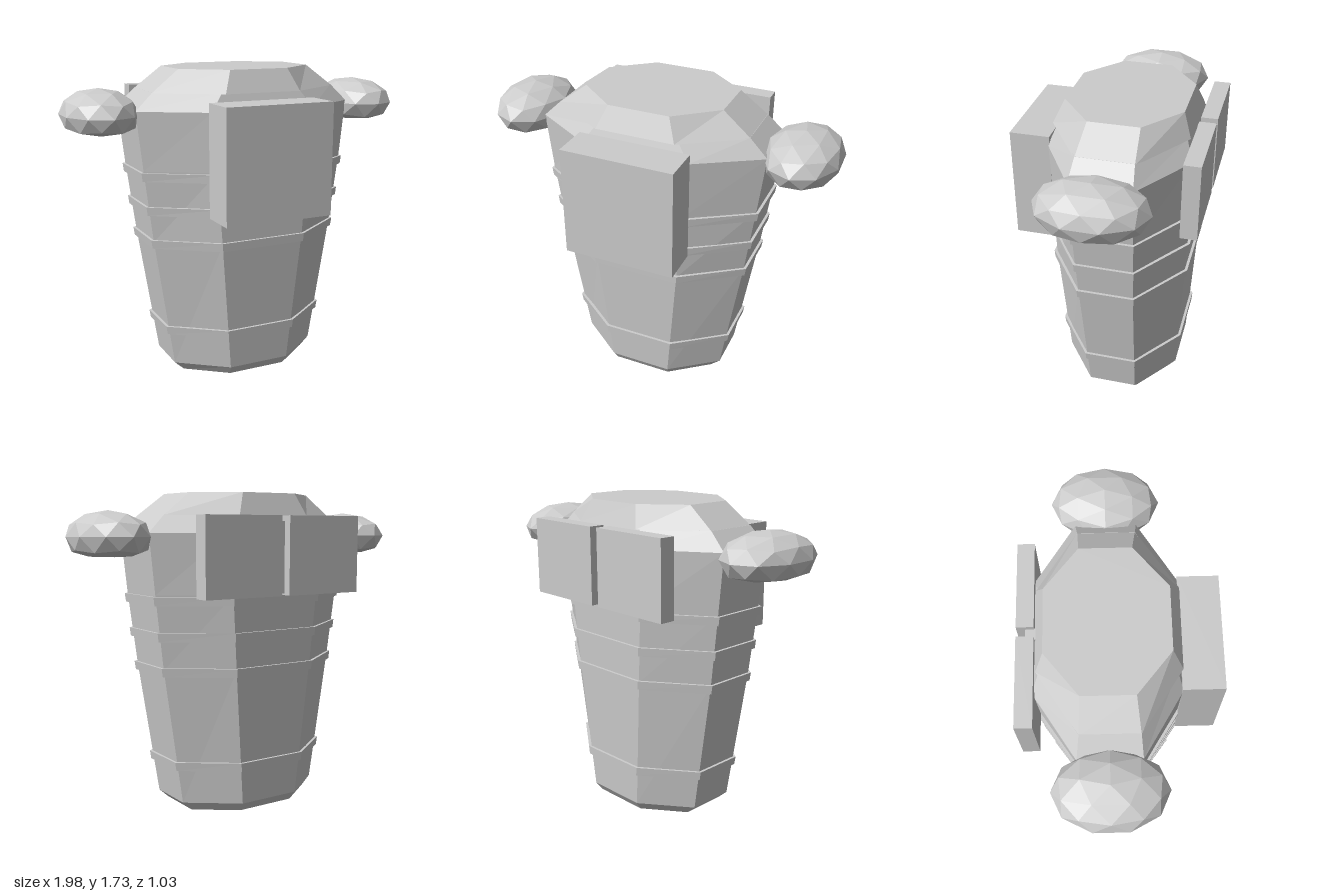
import * as THREE from 'three';

const material = new THREE.MeshStandardMaterial({ color: 0xcccccc, flatShading: true });

function addMesh(parent, geometry, name) {
  const mesh = new THREE.Mesh(geometry, material);
  mesh.name = name;
  parent.add(mesh);
  return mesh;
}

// Octagonal section: [y, half width, half width of front face, front z, back z, side front z, side back z]
function ring([y, hx, fx, zf, zb, sf, sb]) {
  return [[fx, zf], [hx, sf], [hx, sb], [fx, zb], [-fx, zb], [-hx, sb], [-hx, sf], [-fx, zf]]
    .map(([x, z]) => [x, y, z]);
}

// Closed faceted solid through a stack of sections, bottom to top
function loft(sections) {
  const rings = sections.map(ring);
  const top = rings[rings.length - 1], bottom = rings[0];
  const pos = [];
  const tri = (a, b, c) => pos.push(...a, ...b, ...c);
  for (let i = 0; i < rings.length - 1; i++) {
    for (let j = 0; j < 8; j++) {
      const k = (j + 1) % 8;
      tri(rings[i][j], rings[i][k], rings[i + 1][k]);
      tri(rings[i][j], rings[i + 1][k], rings[i + 1][j]);
    }
  }
  for (let j = 1; j < 7; j++) {
    tri(top[0], top[j], top[j + 1]);
    tri(bottom[0], bottom[j + 1], bottom[j]);
  }
  const geometry = new THREE.BufferGeometry();
  geometry.setAttribute('position', new THREE.Float32BufferAttribute(pos, 3));
  geometry.computeVertexNormals();
  return geometry;
}

const BODY = [
  [0, 0.39, 0.17, 0.24, -0.36, 0.07, -0.20],
  [0.05, 0.445, 0.18, 0.27, -0.395, 0.07, -0.20],
  [0.80, 0.56, 0.245, 0.31, -0.43, 0.09, -0.21],
  [1.20, 0.61, 0.275, 0.31, -0.445, 0.10, -0.22],
  [1.52, 0.645, 0.30, 0.31, -0.445, 0.10, -0.225],
  [1.615, 0.545, 0.23, 0.275, -0.405, 0.09, -0.21],
];

// Body section at a height, pushed outward
function sectionAt(y, out) {
  const i = BODY.findIndex((s) => s[0] > y);
  const a = BODY[i - 1], b = BODY[i];
  const t = (y - a[0]) / (b[0] - a[0]);
  const s = a.map((v, n) => v + (b[n] - v) * t);
  const grow = [0, out, out * 0.4, out, -out, out * 0.4, -out * 0.4];
  return s.map((v, n) => v + grow[n]);
}

// Box given by its limits on each axis
function addBox(parent, name, x0, x1, y0, y1, z0, z1) {
  const mesh = addMesh(parent, new THREE.BoxGeometry(x1 - x0, y1 - y0, z1 - z0), name);
  mesh.position.set((x0 + x1) / 2, (y0 + y1) / 2, (z0 + z1) / 2);
}

// Faceted pad: vertex-up icosphere with a domed top and flattened underside
function padGeometry() {
  const geometry = new THREE.IcosahedronGeometry(1, 1);
  geometry.rotateZ(Math.atan(2 / (1 + Math.sqrt(5))));
  const p = geometry.attributes.position;
  for (let i = 0; i < p.count; i++) {
    const y = p.getY(i);
    p.setXYZ(i, p.getX(i) * 0.207, y > 0 ? y * 0.135 : Math.max(-0.1, y * 0.15), p.getZ(i) * 0.29);
  }
  geometry.computeVertexNormals();
  return geometry;
}

export function createModel() {
  const model = new THREE.Group();
  model.name = 'armouredTorso';

  // Tapered torso and the chamfered collar on top
  addMesh(model, loft(BODY), 'torso');
  addMesh(model, loft([
    [1.61, 0.55, 0.22, 0.305, -0.42, 0.09, -0.21],
    [1.73, 0.39, 0.17, 0.25, -0.375, 0.07, -0.20],
  ]), 'collar');

  // Raised bands around the torso
  for (const y of [0.24, 0.765, 0.955, 1.145]) {
    addMesh(model, loft([sectionAt(y, 0.015), sectionAt(y + 0.047, 0.015)]), 'band');
  }

  // Chest box, twin back plates and the strip joining them
  addBox(model, 'chestBox', -0.315, 0.305, 0.955, 1.57, 0.30, 0.515);
  addBox(model, 'rightBackPlate', -0.505, -0.03, 1.19, 1.61, -0.52, -0.43);
  addBox(model, 'leftBackPlate', 0.02, 0.49, 1.19, 1.61, -0.52, -0.43);
  addBox(model, 'backPlateLink', -0.035, 0.025, 1.20, 1.58, -0.475, -0.42);

  // Shoulder pads
  for (const [name, side] of [['leftShoulderPad', 1], ['rightShoulderPad', -1]]) {
    const pad = addMesh(model, padGeometry(), name);
    pad.position.set(side * 0.793, 1.5, -0.063);
    if (side < 0) pad.rotation.y = Math.PI;
  }
  return model;
}
